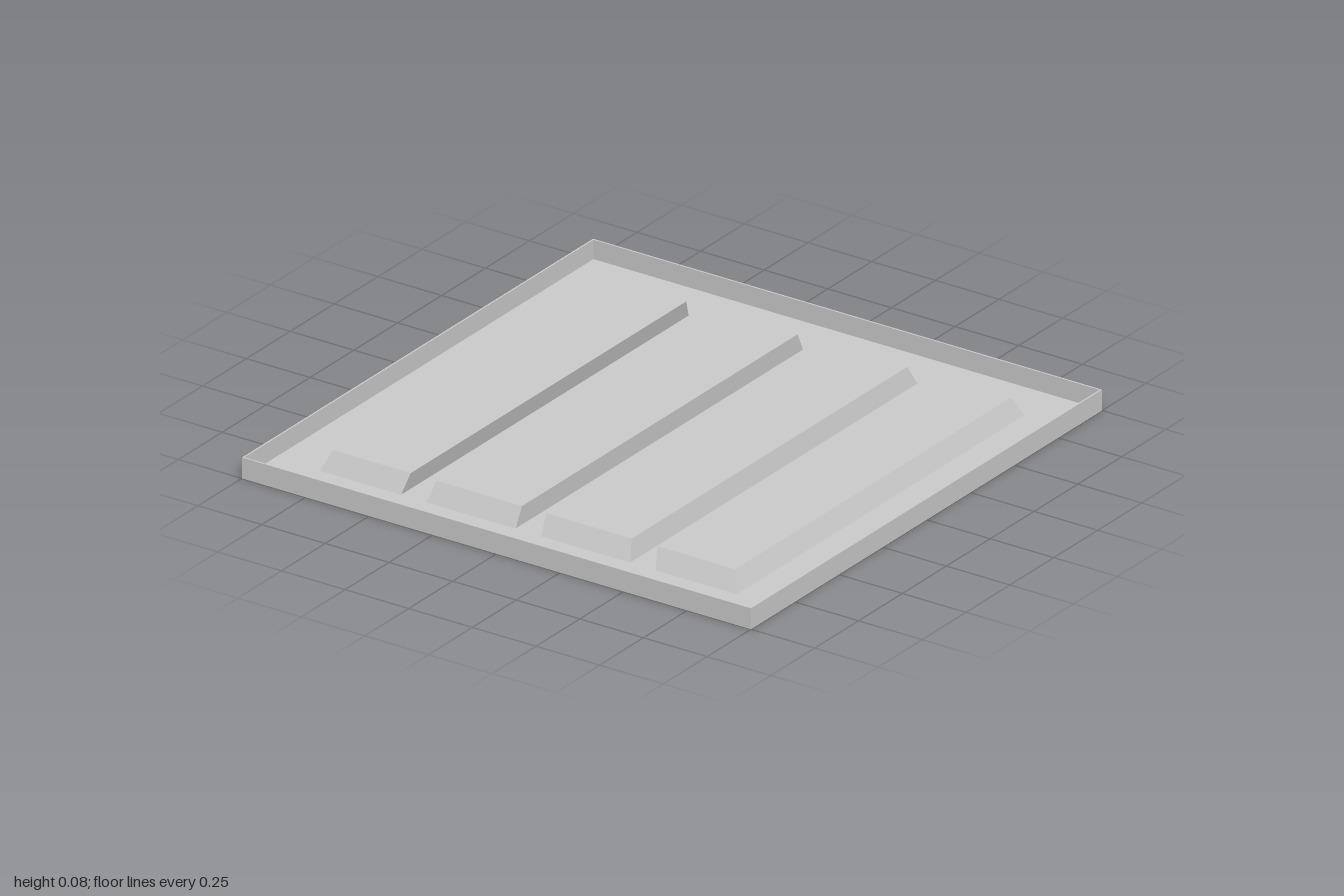
import * as THREE from 'three';

const HEIGHT = 0.075, SHEET = 0.006;
const Z_BASE = 0.82, Z_TOP = 0.785;

// Pressed ribs on the +x side: x limits at the base and at the top
const RIBS = [
  { base: [0.05, 0.4], top: [0.048, 0.383] },
  { base: [0.5, 0.82], top: [0.485, 0.79] },
];

const rect = (Type, x0, x1, z) => new Type([
  new THREE.Vector2(x0, -z), new THREE.Vector2(x1, -z),
  new THREE.Vector2(x1, z), new THREE.Vector2(x0, z),
]);

// Tapered hollow box, open underneath
function ribGeometry(base, top) {
  const box = new THREE.BoxGeometry(1, 1, 1);
  const index = Array.from(box.index.array);
  index.splice(18, 6); // bottom face
  box.setIndex(index);
  box.clearGroups();
  const p = box.attributes.position;
  for (let i = 0; i < p.count; i++) {
    const up = p.getY(i) > 0;
    const xs = up ? top : base;
    p.setXYZ(i, p.getX(i) > 0 ? xs[1] : xs[0], up ? HEIGHT - 0.001 : SHEET / 2,
      Math.sign(p.getZ(i)) * (up ? Z_TOP : Z_BASE));
  }
  const g = box.toNonIndexed();
  g.computeVertexNormals();
  return g;
}

export function createModel() {
  const group = new THREE.Group();
  const material = new THREE.MeshStandardMaterial({
    color: 0xcccccc, flatShading: true, side: THREE.DoubleSide,
  });
  const add = (name, geometry) => {
    const mesh = new THREE.Mesh(geometry, material);
    mesh.name = name;
    group.add(mesh);
    return mesh;
  };

  // Four ribs, mirrored about x = 0
  const sheet = rect(THREE.Shape, -1, 1, 1);
  for (const side of [1, -1]) {
    RIBS.forEach(({ base, top }, i) => {
      const flip = (xs) => side > 0 ? xs : [-xs[1], -xs[0]];
      const b = flip(base);
      add((i ? 'outer' : 'inner') + 'Rib' + (side > 0 ? 'Left' : 'Right'), ribGeometry(b, flip(top)));
      sheet.holes.push(rect(THREE.Path, b[0], b[1], Z_BASE));
    });
  }

  // Thin floor sheet, open under each rib
  const floor = new THREE.ExtrudeGeometry(sheet, { depth: SHEET, bevelEnabled: false });
  floor.rotateX(-Math.PI / 2);
  add('floorSheet', floor);

  // Upright rim around the edge
  ['front', 'left', 'back', 'right'].forEach((name, i) => {
    const wall = new THREE.BoxGeometry(2, HEIGHT, SHEET);
    wall.translate(0, HEIGHT / 2, 1 - SHEET / 2);
    wall.rotateY(i * Math.PI / 2);
    add(name + 'Rim', wall);
  });

  return group;
}
